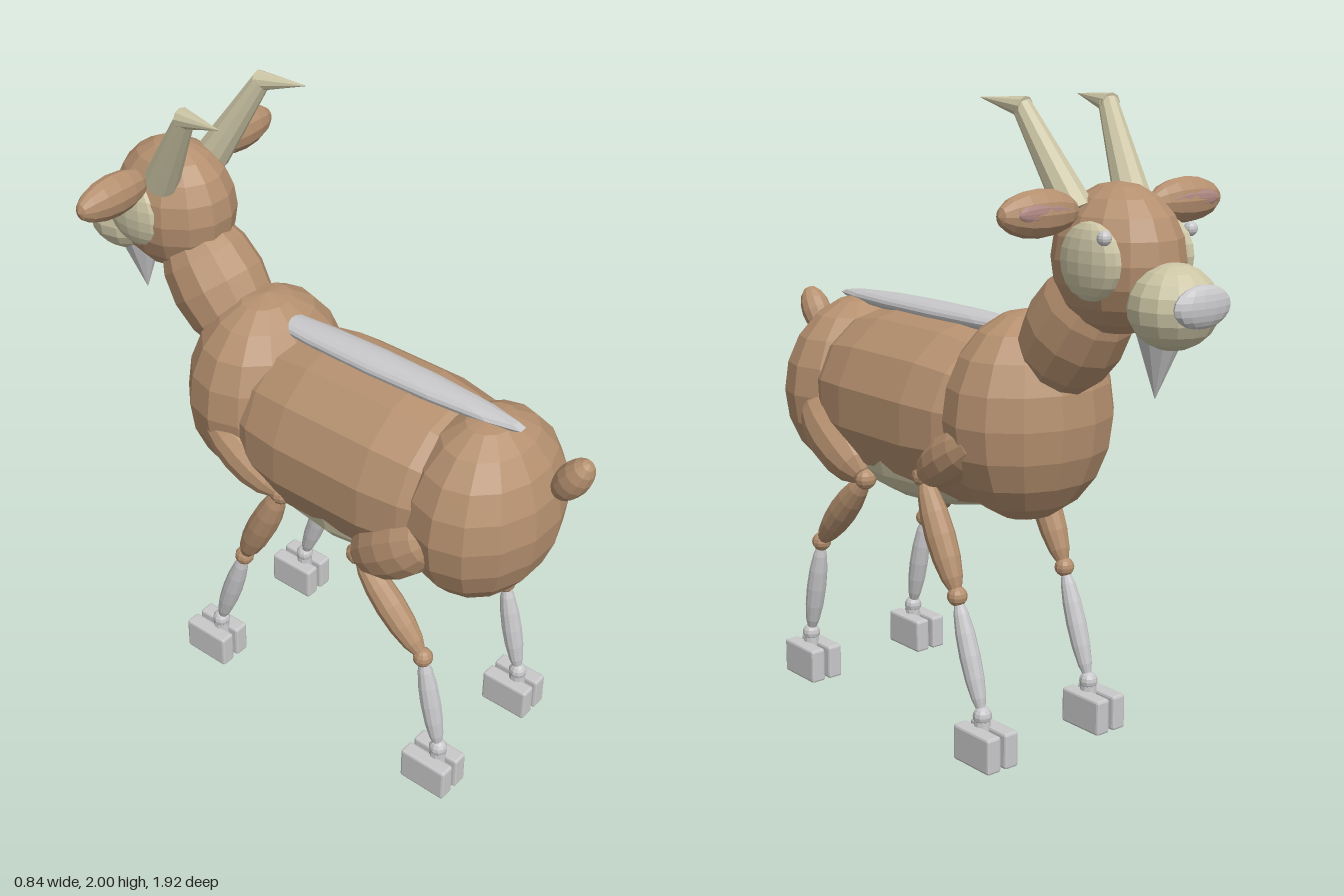
import * as THREE from 'three';
import { RoundedBoxGeometry } from 'three/addons/geometries/RoundedBoxGeometry.js';

const material = (name, color) => {
  const m = new THREE.MeshStandardMaterial({ color, flatShading: true });
  m.name = name;
  return m;
};

export function createModel() {
  const goat = new THREE.Group();
  goat.name = 'goat';
  const coat = material('brown coat', 0xb5906f);
  const cream = material('cream', 0xccc5a5);
  const grey = material('light grey', 0xc8c8ca);
  const pink = material('inner ear pink', 0xb08a86);
  const V = (x, y, z) => new THREE.Vector3(x, y, z);
  const UP = V(0, 1, 0);

  function add(name, geo, mat, pos, parent = goat) {
    const m = new THREE.Mesh(geo, mat);
    m.name = name;
    m.position.copy(pos);
    parent.add(m);
    return m;
  }

  // Faceted ellipsoid with its poles along y
  function ball(name, mat, pos, r, parent = goat, w = 14, h = 10) {
    const geo = new THREE.SphereGeometry(1, w, h);
    geo.scale(r[0], r[1], r[2]);
    return add(name, geo, mat, pos, parent);
  }

  // Ellipsoid stretched from a to b
  function limb(name, mat, a, b, rx, rz, parent = goat) {
    const d = b.clone().sub(a);
    const m = ball(name, mat, a.clone().add(b).multiplyScalar(0.5), [rx, d.length() / 2, rz], parent, 12, 8);
    m.quaternion.setFromUnitVectors(UP, d.normalize());
    return m;
  }

  // Tapered rod from a to b
  function taper(name, mat, a, b, ra, rb, parent = goat) {
    const d = b.clone().sub(a);
    const geo = new THREE.CylinderGeometry(rb, ra, d.length(), 10);
    const m = add(name, geo, mat, a.clone().add(b).multiplyScalar(0.5), parent);
    m.quaternion.setFromUnitVectors(UP, d.normalize());
    return m;
  }

  // Trunk
  const profile = [[0, -0.5], [0.15, -0.48], [0.235, -0.38], [0.274, -0.29], [0.295, -0.16],
    [0.295, 0.16], [0.274, 0.29], [0.235, 0.38], [0.15, 0.48], [0, 0.5]];
  const barrel = new THREE.LatheGeometry(profile.map(p => new THREE.Vector2(...p)), 14);
  barrel.rotateX(Math.PI / 2);
  add('barrel', barrel, coat, V(0, 1.005, 0.2));
  ball('rump', coat, V(0, 0.995, 0.62), [0.285, 0.31, 0.225]);
  ball('chest', coat, V(0, 1.045, -0.23), [0.285, 0.325, 0.23]);
  ball('belly', cream, V(0, 0.85, 0.2), [0.245, 0.158, 0.41]);
  ball('backStripe', grey, V(0, 1.3, 0.2), [0.06, 0.033, 0.54]);
  limb('tail', coat, V(0, 1.135, 0.853), V(0, 1.288, 0.947), 0.052, 0.05);

  // Neck and head
  limb('neck', coat, V(0, 1.13, -0.28), V(0, 1.53, -0.58), 0.155, 0.155);
  ball('head', coat, V(0, 1.558, -0.6), [0.175, 0.214, 0.205]);
  ball('muzzle', cream, V(0, 1.45, -0.815), [0.13, 0.12, 0.128]);
  ball('nose', grey, V(0, 1.463, -0.922), [0.106, 0.06, 0.032]);
  taper('beard', grey, V(0, 1.385, -0.77), V(0, 1.185, -0.755), 0.075, 0.001);

  for (const s of [1, -1]) {
    // Face details, ears and horns
    ball('cheek', cream, V(s * 0.14, 1.565, -0.635), [0.045, 0.11, 0.115]);
    ball('eye', grey, V(s * 0.165, 1.638, -0.715), [0.021, 0.021, 0.021], goat, 10, 8);
    limb('ear', coat, V(s * 0.14, 1.7, -0.58), V(s * 0.42, 1.7, -0.58), 0.067, 0.053);
    limb('innerEar', pink, V(s * 0.2, 1.705, -0.618), V(s * 0.38, 1.705, -0.618), 0.03, 0.013);
    taper('horn', cream, V(s * 0.113, 1.69, -0.545), V(s * 0.165, 1.975, -0.375), 0.056, 0.029);
    taper('hornTip', cream, V(s * 0.163, 1.967, -0.39), V(s * 0.186, 1.99, -0.225), 0.032, 0.001);

    // Legs: upper joint, lower joints and hoof for the hind and front pair
    const legs = [
      { name: 'hindLeg', hip: [0.61, 0.985], knee: [0.315, 0.765], hock: [0.575, 0.49],
        ankle: [0.65, 0.145], hoof: 0.635, thigh: 0.1, x: 0.225 },
      { name: 'frontLeg', hip: [-0.285, 1.02], knee: [0.01, 0.84], hock: [-0.155, 0.495],
        ankle: [-0.275, 0.145], hoof: -0.295, thigh: 0.078, x: 0.225 },
    ];
    for (const L of legs) {
      const leg = new THREE.Group();
      leg.name = L.name;
      goat.add(leg);
      const [hip, knee, hock, ankle] = [L.hip, L.knee, L.hock, L.ankle].map(p => V(s * 0.22, p[1], p[0]));
      const joint = (name, mat, p, r) => ball(name, mat, p, [r, r, r], leg, 10, 8);
      const upper = limb('upperLeg', coat, hip, knee, L.thigh * 0.92, L.thigh, leg);
      upper.position.x = s * L.x;
      joint('kneeJoint', coat, knee, 0.036);
      limb('middleLeg', coat, knee, hock, 0.048, 0.048, leg);
      joint('hockJoint', coat, hock, 0.032);
      limb('lowerLeg', grey, hock, ankle, 0.033, 0.033, leg);
      joint('ankleJoint', grey, ankle, 0.03);
      taper('pastern', grey, ankle, V(s * 0.22, 0.07, ankle.z), 0.025, 0.03, leg);
      for (const x of [0.19, 0.258]) {
        add('hoof', new RoundedBoxGeometry(0.052, 0.115, 0.168, 1, 0.008), grey, V(s * x, 0.0575, L.hoof), leg);
      }
    }
  }
  return goat;
}
